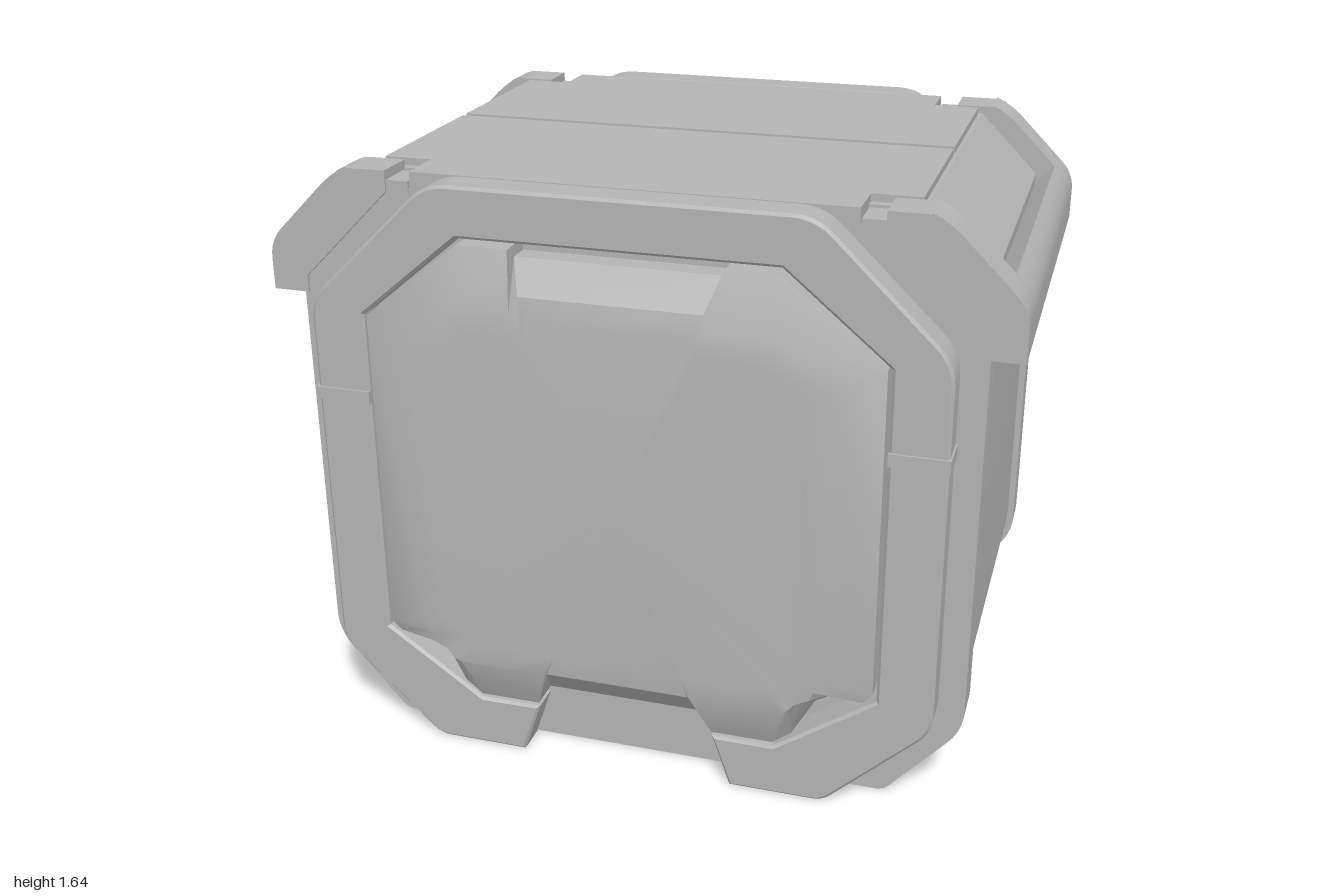
import * as THREE from 'three';
import { toCreasedNormals } from 'three/addons/utils/BufferGeometryUtils.js';

const grey = new THREE.MeshStandardMaterial({ color: 0xb4b4b4 });
grey.name = 'grey metal';

// Adds the mirrored left half to a right half listed from bottom to top
const mirrored = (half) => [...half, ...half.slice().reverse().map(([x, ...rest]) => [-x, ...rest])];

// Closed shape from [x, y, cornerRadius] points
function roundedShape(points) {
  const shape = new THREE.Shape();
  const n = points.length;
  points.forEach(([x, y, r = 0], i) => {
    const corner = new THREE.Vector2(x, y);
    const towards = ([px, py]) => new THREE.Vector2(px, py).sub(corner).setLength(r).add(corner);
    const a = r ? towards(points[(i + n - 1) % n]) : corner;
    const b = r ? towards(points[(i + 1) % n]) : corner;
    if (i === 0) shape.moveTo(a.x, a.y);
    else shape.lineTo(a.x, a.y);
    if (r) shape.quadraticCurveTo(x, y, b.x, b.y);
  });
  shape.closePath();
  return shape;
}

function add(parent, name, geometry) {
  const mesh = new THREE.Mesh(geometry, grey);
  mesh.name = name;
  parent.add(mesh);
  return mesh;
}

// Extrudes an outline between z0 and z1, with an optional bevel inside it
function slab(parent, name, points, z0, z1, bevel = 0) {
  const geometry = new THREE.ExtrudeGeometry(roundedShape(points), {
    depth: z1 - z0 - 2 * bevel, curveSegments: 5, bevelEnabled: bevel > 0,
    bevelThickness: bevel, bevelSize: bevel, bevelOffset: -bevel, bevelSegments: 1,
  });
  geometry.translate(0, 0, z0 + bevel);
  return add(parent, name, toCreasedNormals(geometry, 0.5));
}

function box(parent, name, x0, x1, y0, y1, z0, z1) {
  const geometry = new THREE.BoxGeometry(x1 - x0, y1 - y0, z1 - z0);
  geometry.translate((x0 + x1) / 2, (y0 + y1) / 2, (z0 + z1) / 2);
  return add(parent, name, geometry);
}

// Bulging door panel: rings from the recess out to the flat centre
function doorGeometry() {
  // outer x, y, z, then inner x, y, z
  const outline = mirrored([
    [0.25, 0.165, 0.65, 0.20, 0.30, 0.795],
    [0.25, 0.165, 0.74, 0.205, 0.30, 0.80],
    [0.42, 0.165, 0.74, 0.45, 0.30, 0.80],
    [0.47, 0.20, 0.735, 0.47, 0.31, 0.80],
    [0.52, 0.27, 0.67, 0.49, 0.33, 0.795],
    [0.60, 0.32, 0.67, 0.53, 0.35, 0.795],
    [0.66, 0.33, 0.735, 0.54, 0.38, 0.80],
    [0.685, 0.36, 0.74, 0.55, 0.41, 0.80],
    [0.685, 1.27, 0.74, 0.55, 1.22, 0.80],
    [0.42, 1.485, 0.745, 0.42, 1.33, 0.80],
    [0.28, 1.485, 0.745, 0.26, 1.34, 0.80],
    [0.28, 1.455, 0.70, 0.24, 1.38, 0.787],
  ]);
  // the mirrored outer and inner x must both change sign
  outline.forEach((p, i) => { if (i >= outline.length / 2) p[3] = -p[3]; });
  const rings = [
    outline.map(([x, y]) => [x, y, 0.63]),
    outline.map(([x, y, z]) => [x, y, z]),
    outline.map((p) => p.slice(3)),
    outline.map((p) => [p[3] * 0.88, 0.815 + (p[4] - 0.815) * 0.88, 0.802]),
  ];
  const n = outline.length;
  const positions = [];
  for (let i = 0; i < n; i++) {
    const j = (i + 1) % n;
    for (let k = 0; k < rings.length - 1; k++) {
      const [a, b, c, d] = [rings[k][i], rings[k][j], rings[k + 1][j], rings[k + 1][i]];
      positions.push(...a, ...b, ...c, ...a, ...c, ...d);
    }
    positions.push(0, 0.815, 0.802, ...rings[3][i], ...rings[3][j]);
  }
  const geometry = new THREE.BufferGeometry();
  geometry.setAttribute('position', new THREE.Float32BufferAttribute(positions, 3));
  return toCreasedNormals(geometry, 0.5);
}

// Frame, door and side clips of one end
function createEnd(name) {
  const end = new THREE.Group();
  end.name = name;
  const outer = [[0.30, 0], [0.56, 0, 0.03], [0.845, 0.27, 0.05], [0.845, 1.30, 0.06], [0.5, 1.635, 0.06]];
  const inner = [[0.25, 0.15], [0.42, 0.15], [0.695, 0.34], [0.695, 1.27], [0.42, 1.50]];
  const flip = ([x, ...rest]) => [-x, ...rest];
  const ring = [...mirrored(outer), ...inner.map(flip), ...inner.slice().reverse()];
  slab(end, 'endFrame', ring, 0.64, 0.74, 0.008);
  add(end, 'doorPanel', doorGeometry());
  for (const s of [-1, 1]) {
    box(end, 'frameClip', s * 0.7725 - 0.0775, s * 0.7725 + 0.0775, 1.02, 1.055, 0.638, 0.746);
  }
  return end;
}

// Top side bracket on the model's left (+x)
function bracketParts(parent, side) {
  const at = (points) => (side > 0 ? points : points.map(([x, ...r]) => [-x, ...r]).reverse());
  const beam = [[0.88, 1.285], [1, 1.285], [1, 1.42, 0.05], [0.95, 1.47], [0.90, 1.42]];
  const arm = [[0.90, 1.285], [1, 1.285], [1, 1.42, 0.05], [0.80, 1.62, 0.05], [0.765, 1.635, 0.02],
    [0.65, 1.635], [0.65, 1.58], [0.90, 1.33]];
  slab(parent, 'bracketBeam', at(beam), -0.53, 0.53);
  for (const s of [-1, 1]) {
    slab(parent, 'bracketArm', at(arm), s > 0 ? 0.53 : -0.65, s > 0 ? 0.65 : -0.53);
    box(parent, 'bracketLatch', side * 0.62 - 0.031, side * 0.62 + 0.031, 1.58, 1.61,
      s * 0.595 - 0.05, s * 0.595 + 0.05);
  }
}

export function createModel() {
  const crate = new THREE.Group();
  crate.name = 'crate';

  // Body with recessed sides and two raised rims
  const core = mirrored([[0.695, 0.02, 0.02], [0.897, 0.22, 0.1], [0.897, 1.443], [0.725, 1.615]]);
  slab(crate, 'body', core, -0.536, 0.536);
  const rim = mirrored([[0.71, 0, 0.02], [0.915, 0.23, 0.06], [0.915, 1.335, 0.05], [0.66, 1.59, 0.04]]);
  slab(crate, 'frontRim', rim, 0.53, 0.64);
  slab(crate, 'backRim', rim, -0.632, -0.53);
  box(crate, 'bottomPlate', -0.64, 0.64, 0, 0.03, -0.535, 0.535);

  // Top plates either side of the centre groove, notched at the brackets
  for (const s of [-1, 1]) {
    box(crate, 'topPlate', -0.715, 0.715, 1.58, 1.635, Math.min(s * 0.012, s * 0.51), Math.max(s * 0.012, s * 0.51));
    box(crate, 'topPlateEnd', -0.585, 0.585, 1.58, 1.635, Math.min(s * 0.51, s * 0.64), Math.max(s * 0.51, s * 0.64));
    bracketParts(crate, s);
  }

  // Matching ends
  const back = createEnd('backEnd');
  back.rotation.y = Math.PI;
  crate.add(createEnd('frontEnd'), back);
  return crate;
}
